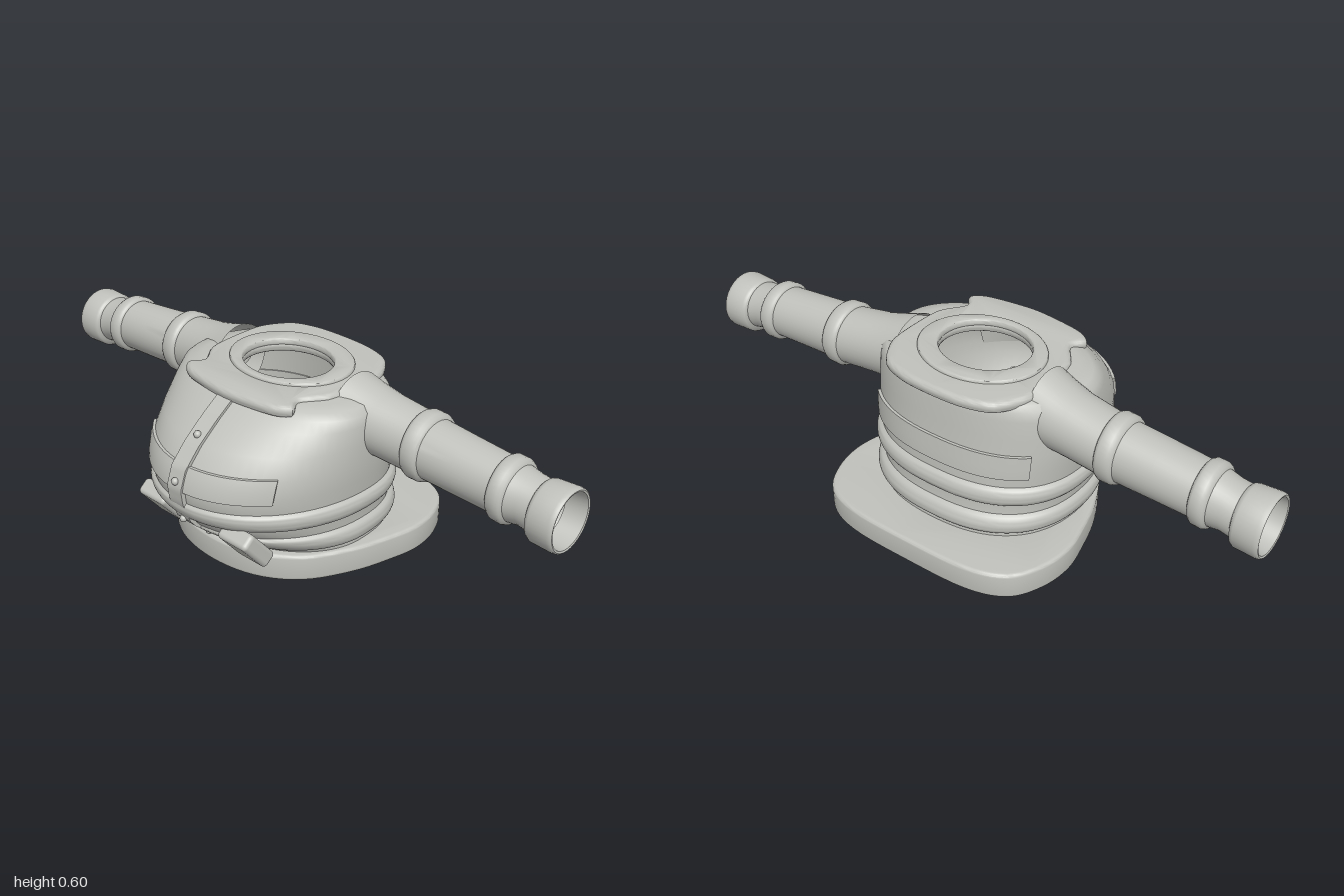
import * as THREE from 'three';
import { toCreasedNormals } from 'three/addons/utils/BufferGeometryUtils.js';
import { RoundedBoxGeometry } from 'three/addons/geometries/RoundedBoxGeometry.js';

// Torso sections: height, half width, front z, back z
const SECTIONS = [
  [0.08, 0.345, 0.26, -0.32], [0.12, 0.345, 0.305, -0.315], [0.17, 0.345, 0.37, -0.305],
  [0.2, 0.35, 0.395, -0.303], [0.27, 0.355, 0.422, -0.298], [0.32, 0.362, 0.428, -0.295],
  [0.38, 0.365, 0.407, -0.288], [0.44, 0.365, 0.352, -0.28], [0.5, 0.362, 0.278, -0.275],
  [0.53, 0.355, 0.235, -0.27], [0.547, 0.335, 0.212, -0.265], [0.555, 0.29, 0.18, -0.25],
  [0.56, 0.17, 0.1, -0.18],
];

// Point on the torso at height y and angle a (0 = front), pushed out by off
function torsoPoint(y, a, off = 0) {
  let i = 0;
  while (i < SECTIONS.length - 2 && y > SECTIONS[i + 1][0]) i++;
  const p = SECTIONS[i], q = SECTIONS[i + 1];
  const t = (y - p[0]) / (q[0] - p[0]);
  const [w, f, b] = [1, 2, 3].map((k) => THREE.MathUtils.lerp(p[k], q[k], t));
  const s = Math.sin(a), c = Math.cos(a);
  const e = c < 0 ? 2 / 2.4 : 1;
  const bend = (v) => Math.sign(v) * Math.abs(v) ** e;
  return new THREE.Vector3((w + off) * bend(s), y, (c < 0 ? off - b : f + off) * bend(c));
}

// Skin over a list of closed rings, with optional end caps
function loft(rings, crease = 0.7, caps = false) {
  const n = rings[0].length, index = [];
  for (let i = 0; i < rings.length - 1; i++) {
    for (let j = 0; j < n; j++) {
      const k = (j + 1) % n, a = i * n, b = a + n;
      index.push(a + j, a + k, b + j, a + k, b + k, b + j);
    }
  }
  if (caps) {
    const e = (rings.length - 1) * n;
    for (let j = 1; j < n - 1; j++) index.push(0, j + 1, j, e, e + j, e + j + 1);
  }
  const g = new THREE.BufferGeometry();
  g.setAttribute('position', new THREE.Float32BufferAttribute(rings.flat().flatMap((p) => p.toArray()), 3));
  g.setIndex(index);
  g.computeVertexNormals();
  return toCreasedNormals(g, crease);
}

const steps = (n, fn) => Array.from({ length: n + 1 }, (_, i) => fn(i / n));
const torsoRing = (y, off) => steps(71, (t) => torsoPoint(y, (t * 71 / 72) * Math.PI * 2, off));

// Horizontal slab from a plan outline in (x, -z), with a rounded edge and a hole
function slab(outline, hole, y0, y1, bevel) {
  const shape = new THREE.Shape(outline);
  shape.holes.push(new THREE.Path(hole));
  const g = new THREE.ExtrudeGeometry(shape, {
    depth: y1 - y0 - 2 * bevel, bevelThickness: bevel, bevelSize: bevel,
    bevelOffset: -bevel, bevelSegments: 4,
  });
  g.rotateX(-Math.PI / 2).translate(0, y0 + bevel, 0);
  return toCreasedNormals(g, 0.6);
}
const ellipse = (rx, rz, cz) => new THREE.EllipseCurve(0, -cz, rx, rz, 0, Math.PI * 2).getPoints(56).slice(0, -1);

// Smooth closed outline from its right half, listed front to back in (x, z)
function mirroredOutline(half, divisions, tension) {
  const left = half.slice(1, -1).reverse().map(([x, z]) => [-x, z]);
  const pts = [...half, ...left].map(([x, z]) => new THREE.Vector3(x, -z, 0));
  return new THREE.CatmullRomCurve3(pts, true, 'catmullrom', tension)
    .getPoints(divisions).slice(0, -1).map((p) => new THREE.Vector2(p.x, p.y));
}

export function createModel() {
  const model = new THREE.Group();
  const cloth = new THREE.MeshStandardMaterial({ color: 0xc0c0bc, side: THREE.DoubleSide });
  cloth.name = 'plain grey';
  const add = (name, geometry, parent = model) => {
    const mesh = new THREE.Mesh(geometry, cloth);
    mesh.name = name;
    parent.add(mesh);
    return mesh;
  };

  // Bulging shell, open at the hem and neck
  add('torso', loft(SECTIONS.map(([y]) => torsoRing(y, 0)), 1));

  // Padded folds around the waist
  for (const [name, y0, y1] of [['upperFold', 0.205, 0.27], ['lowerFold', 0.103, 0.168]]) {
    add(name, loft(steps(10, (t) => torsoRing(y0 + (y1 - y0) * t, 0.019 * Math.sin(Math.PI * t) ** 0.45)), 1.2));
  }

  // Hem flange, wide at the back
  const hem = mirroredOutline([[0, 0.305], [0.16, 0.277], [0.285, 0.19], [0.365, 0.05], [0.405, -0.08],
    [0.424, -0.19], [0.405, -0.3], [0.345, -0.395], [0.22, -0.442], [0, -0.45]], 90, 0.5);
  add('hemFlange', slab(hem, ellipse(0.325, 0.275, -0.035), 0, 0.09, 0.012));

  // Yoke collar and raised neck ring
  const yoke = mirroredOutline([[0, 0.235], [0.17, 0.213], [0.225, 0.175], [0.2, 0.125], [0.25, 0.05],
    [0.262, -0.04], [0.258, -0.17], [0.2, -0.265], [0.11, -0.298], [0, -0.305]], 90, 0.4);
  add('collar', slab(yoke, ellipse(0.15, 0.13, -0.04), 0.532, 0.57, 0.016));
  add('neckRing', slab(ellipse(0.21, 0.175, -0.055), ellipse(0.15, 0.13, -0.04), 0.555, 0.58, 0.008));

  // Wrapped chest and back panels
  for (const [name, mid, spread, y0, y1] of [['chestPanel', 0, 0.81, 0.312, 0.388], ['backPanel', Math.PI, 0.85, 0.306, 0.386]]) {
    const rings = steps(32, (t) => {
      const a = mid + spread * (2 * t - 1);
      return [...steps(4, (u) => torsoPoint(y0 + (y1 - y0) * u, a, 0.009)),
        torsoPoint(y1, a, -0.004), torsoPoint(y0, a, -0.004)];
    });
    add(name, loft(rings, 0.7, true));
  }

  // Front strap with rivets
  const strap = steps(36, (t) => {
    const y = 0.085 + 0.46 * t;
    const z = torsoPoint(y, 0).z;
    return [[-0.03, -0.01], [0.03, -0.01], [0.03, 0.013], [-0.03, 0.013]]
      .map(([x, d]) => new THREE.Vector3(x, y, z + d));
  });
  add('frontStrap', loft(strap, 0.7, true));
  for (const y of [0.11, 0.2, 0.34, 0.46]) {
    const rivet = add('rivet', new THREE.SphereGeometry(0.012, 16, 10));
    rivet.position.copy(torsoPoint(y, 0, 0.014));
  }

  // Sleeves: x, radius, centre y, centre z
  const SLEEVE = [
    [0.25, 0.115, 0.485, -0.073], [0.3, 0.108, 0.476, -0.078], [0.37, 0.1, 0.466, -0.084], [0.485, 0.096, 0.453, -0.09],
    [0.49, 0.104, 0.453, -0.09], [0.5, 0.108, 0.452, -0.09], [0.53, 0.107, 0.451, -0.09], [0.54, 0.102, 0.45, -0.09],
    [0.545, 0.093, 0.449, -0.09], [0.66, 0.09, 0.441, -0.089], [0.78, 0.087, 0.433, -0.089],
    [0.784, 0.095, 0.432, -0.089], [0.793, 0.1, 0.431, -0.089], [0.82, 0.1, 0.429, -0.089], [0.83, 0.095, 0.428, -0.089],
    [0.835, 0.085, 0.427, -0.089], [0.87, 0.079, 0.424, -0.09], [0.907, 0.08, 0.417, -0.09],
    [0.912, 0.091, 0.412, -0.09], [0.922, 0.095, 0.41, -0.09], [0.985, 0.098, 0.41, -0.09], [0.997, 0.096, 0.41, -0.09],
    [1, 0.092, 0.41, -0.09], [0.998, 0.086, 0.41, -0.09], [0.93, 0.081, 0.412, -0.09],
  ];
  const sleeve = loft(SLEEVE.map(([x, r, cy, cz]) => steps(39, (t) => {
    const a = t * 39 / 40 * Math.PI * 2;
    return new THREE.Vector3(x, cy + r * Math.cos(a), cz + r * Math.sin(a));
  })), 0.8);

  // Left and right sleeves and slanted pouches
  for (const [name, side] of [['left', 1], ['right', -1]]) {
    const group = new THREE.Group();
    group.name = `${name}Side`;
    group.scale.x = side;
    model.add(group);
    add(`${name}Sleeve`, sleeve, group);
    const pouch = add(`${name}Pouch`, new RoundedBoxGeometry(0.12, 0.145, 0.055, 3, 0.014), group);
    pouch.position.set(0.18, 0.15, 0.325);
    pouch.rotation.x = 0.7;
  }
  return model;
}
